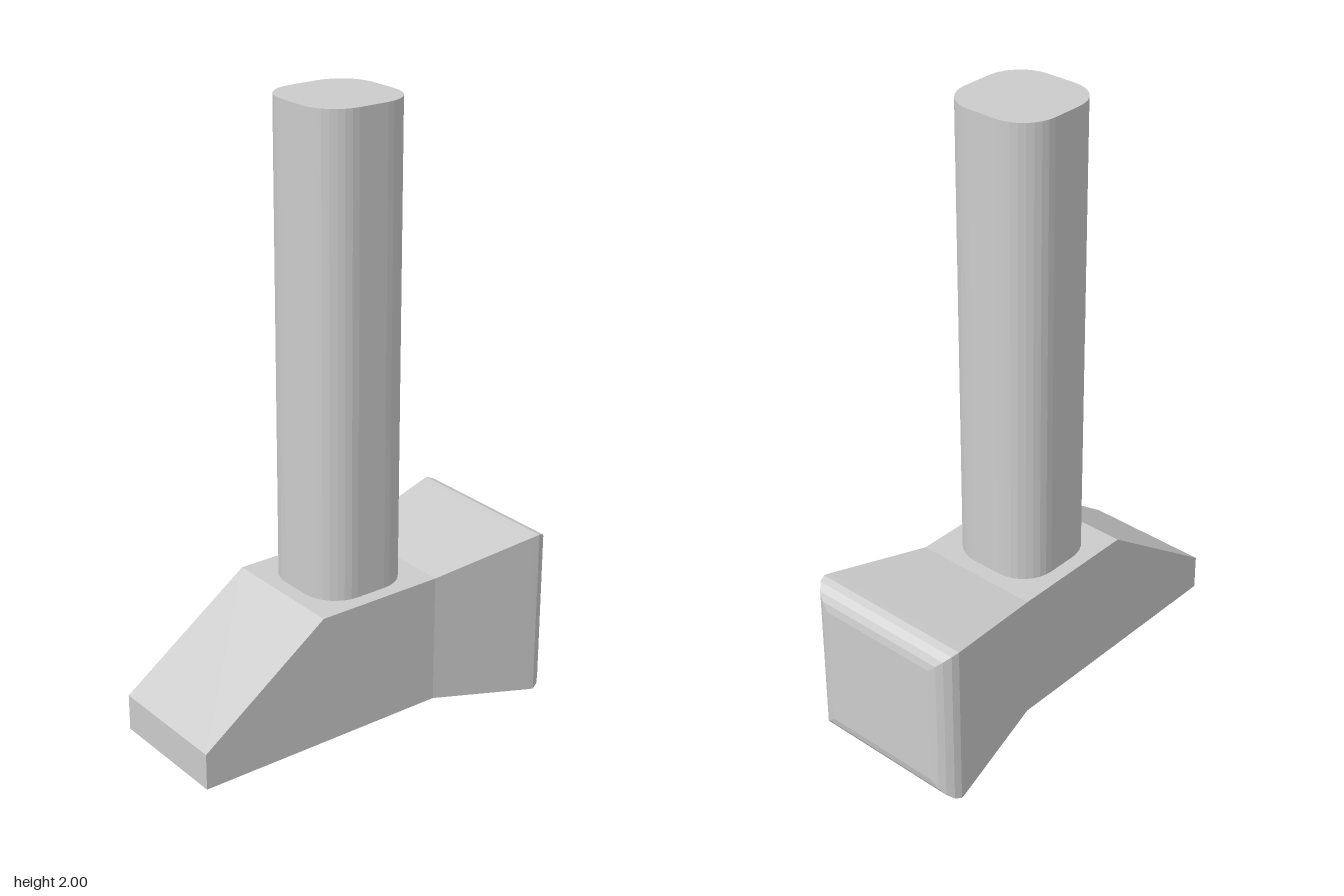
import * as THREE from 'three';

const material = new THREE.MeshStandardMaterial({ color: 0xcccccc, flatShading: true });

// Loft rectangular cross-sections [z, halfWidth, bottom, top], listed front to back.
function loftRectangles(sections) {
  const positions = [];
  const index = [];
  for (const [z, w, lo, hi] of sections) {
    positions.push(-w, lo, z, w, lo, z, w, hi, z, -w, hi, z);
  }
  for (let s = 0; s < sections.length - 1; s++) {
    for (let i = 0; i < 4; i++) {
      const a = s * 4 + i, b = s * 4 + (i + 1) % 4;
      index.push(a, a + 4, b + 4, a, b + 4, b);
    }
  }
  const e = (sections.length - 1) * 4;
  index.push(0, 1, 2, 0, 2, 3, e, e + 2, e + 1, e, e + 3, e + 2);
  const geometry = new THREE.BufferGeometry();
  geometry.setAttribute('position', new THREE.Float32BufferAttribute(positions, 3));
  geometry.setIndex(index);
  const flat = geometry.toNonIndexed();
  flat.computeVertexNormals();
  return flat;
}

// Square outline with rounded corners.
function roundedSquare(half, radius) {
  const c = half - radius;
  const shape = new THREE.Shape();
  shape.moveTo(half, -c);
  shape.absarc(c, c, radius, 0, Math.PI / 2);
  shape.absarc(-c, c, radius, Math.PI / 2, Math.PI);
  shape.absarc(-c, -c, radius, Math.PI, Math.PI * 1.5);
  shape.absarc(c, -c, radius, Math.PI * 1.5, Math.PI * 2);
  return shape;
}

export function createModel() {
  const model = new THREE.Group();
  model.name = 'hammer';

  // Head: sloping wedge, square middle, then a flared poll with a rounded rim
  const midY = 0.281;
  const sections = [
    [0.643, 0.212, 0.069, 0.187],
    [0.215, 0.212, 0.069, 0.493],
  ];
  const poll = [
    [-0.215, 0.212], [-0.56, 0.274], [-0.585, 0.278], [-0.607, 0.27],
    [-0.626, 0.253], [-0.638, 0.233], [-0.643, 0.208],
  ];
  for (const [z, half] of poll) sections.push([z, half, midY - half, midY + half]);
  const head = new THREE.Mesh(loftRectangles(sections), material);
  head.name = 'head';
  model.add(head);

  // Handle: straight shaft rising from the middle of the head
  const shaft = new THREE.ExtrudeGeometry(roundedSquare(0.165, 0.115), {
    depth: 1.51, bevelEnabled: false, curveSegments: 4,
  });
  shaft.rotateX(-Math.PI / 2);
  const handle = new THREE.Mesh(shaft, material);
  handle.name = 'handle';
  handle.position.y = 0.49;
  model.add(handle);

  return model;
}
